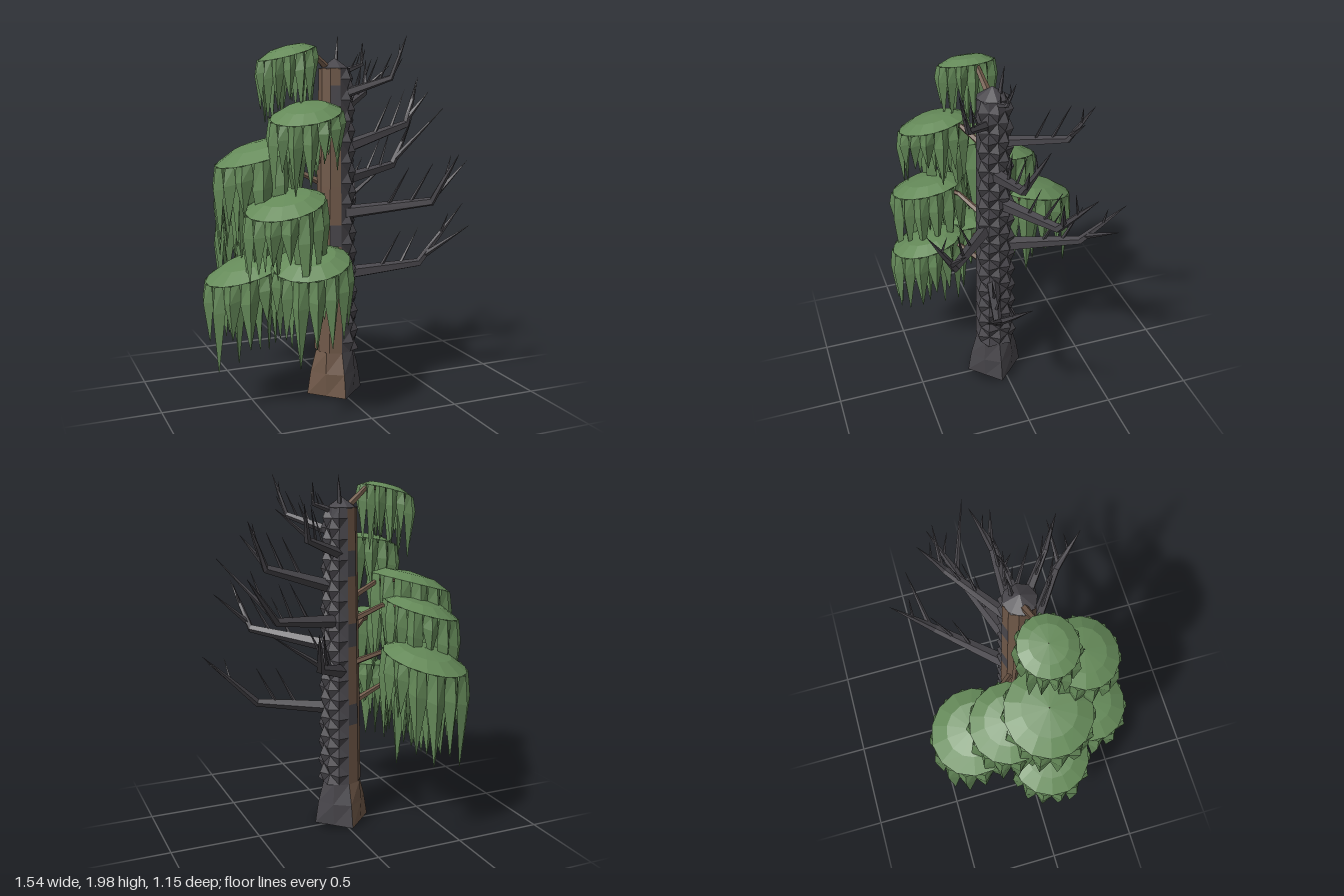
import * as THREE from 'three';

const mat = (name, color, side = THREE.FrontSide) => {
  const m = new THREE.MeshStandardMaterial({ color, side, flatShading: true });
  m.name = name;
  return m;
};
const bark = mat('living bark', 0x6f5848);
const char = mat('charred bark', 0x48464b);
const leaf = mat('foliage green', 0x658a59, THREE.DoubleSide);

const CX = -0.02, CZ = 0.04; // trunk axis

let seed = 11;
const rand = () => (seed = (seed * 16807) % 2147483647) / 2147483647;

// Flat-shaded skin over rows of points (rows run upward, points counterclockwise from above).
// flip(j, i) picks the other diagonal; pick(j, i) sends a quad to the second material.
function skin(rows, flip = () => false, pick = () => false) {
  const sets = [[], []];
  for (let j = 0; j < rows.length - 1; j++) {
    for (let i = 0; i < rows[j].length - 1; i++) {
      const a = rows[j][i], b = rows[j][i + 1], c = rows[j + 1][i + 1], d = rows[j + 1][i];
      const tris = flip(j, i) ? [a, b, d, b, c, d] : [a, b, c, a, c, d];
      for (const p of tris) sets[pick(j, i) ? 1 : 0].push(p.x, p.y, p.z);
    }
  }
  const g = new THREE.BufferGeometry();
  g.setAttribute('position', new THREE.Float32BufferAttribute([...sets[0], ...sets[1]], 3));
  g.addGroup(0, sets[0].length / 3, 0);
  if (sets[1].length) g.addGroup(sets[0].length / 3, sets[1].length / 3, 1);
  g.computeVertexNormals();
  return g;
}

function mesh(name, geometry, material) {
  const m = new THREE.Mesh(geometry, material);
  m.name = name;
  return m;
}

// Trunk radius: a four-cornered flared foot that turns round at 0.25, then a slow taper
function trunkRadius(y, t) {
  if (y >= 0.25) return THREE.MathUtils.lerp(0.112, 0.085, (y - 0.25) / 1.55);
  const k = y / 0.25;
  const square = 1 / (Math.abs(Math.sin(t)) + Math.abs(Math.cos(t)));
  return (0.165 - 0.03 * k - 0.018 * k * k) * THREE.MathUtils.lerp(square, 1, k);
}

// Half ring of the trunk; theta starts at +z and turns toward +x
function halfRing(y, start, n, push = () => 0) {
  return Array.from({ length: n + 1 }, (_, i) => {
    const t = start + (i / n) * Math.PI, r = trunkRadius(y, t) + push(i);
    return new THREE.Vector3(CX + r * Math.sin(t), y, CZ + r * Math.cos(t));
  });
}

function makeTrunk() {
  const g = new THREE.Group();
  g.name = 'trunk';
  const footRows = (start) => [0, 0.13, 0.25].map((y) => halfRing(y, start, 4));
  g.add(mesh('livingFoot', skin(footRows(Math.PI)), bark));
  g.add(mesh('charredFoot', skin(footRows(0)), char));
  // Living half, with scorched patches next to the seam
  const ys = [0.25, 0.6, 0.72, 0.85, 0.97, 1.05, 1.18, 1.44, 1.58, 1.72, 1.81];
  const backPatches = [1, 5, 7], frontPatches = [1, 3, 8];
  g.add(mesh('livingHalf', skin(ys.map((y) => halfRing(y, Math.PI, 5)), undefined,
    (j, i) => (i === 0 && backPatches.includes(j)) || (i === 4 && frontPatches.includes(j))), [bark, char]));
  // Charred half in rows of diamond scales
  const n = 6, count = 28, rows = [];
  for (let j = 0; j <= count; j++) {
    rows.push(halfRing(0.25 + (j / count) * 1.56, 0, n, (i) =>
      (i > 0 && i < n && j < count && (i + j) % 2 === 0 ? 0.024 : 0)));
  }
  g.add(mesh('charredScales', skin(rows, (j, i) => (i + j) % 2 === 0), char));
  // Blunt top and closed underside
  const cap = mesh('trunkTop', new THREE.ConeGeometry(0.088, 0.06, 8), char);
  cap.position.set(CX, 1.835, CZ);
  g.add(cap);
  for (const [name, m, start] of [['footUndersideLiving', bark, Math.PI / 2], ['footUndersideCharred', char, -Math.PI / 2]]) {
    const base = mesh(name, new THREE.CircleGeometry(0.164, 2, start, Math.PI), m);
    base.rotation.x = Math.PI / 2;
    base.position.set(CX, 0.001, CZ);
    g.add(base);
  }
  return g;
}

// Tapered, angular limb through a few points
function limb(name, points, radii, material, sides = 5) {
  const rows = points.map((p, k) => {
    const t = points[Math.min(k + 1, points.length - 1)].clone()
      .sub(points[Math.max(k - 1, 0)]).normalize();
    const ref = Math.abs(t.y) > 0.95 ? new THREE.Vector3(1, 0, 0) : new THREE.Vector3(0, 1, 0);
    const u = ref.cross(t).normalize(), v = t.clone().cross(u);
    return Array.from({ length: sides + 1 }, (_, i) => {
      const a = (i / sides) * Math.PI * 2;
      return p.clone().addScaledVector(u, radii[k] * Math.cos(a)).addScaledVector(v, radii[k] * Math.sin(a));
    });
  });
  return mesh(name, skin(rows), material);
}

// Dead branch: start height, elbow, tip, fork tip
function deadBranch([y, e, t, f], size = 1) {
  const g = new THREE.Group();
  g.name = 'deadBranch';
  const V = (p) => new THREE.Vector3(...p);
  const elbow = V(e), tip = V(t), fork = V(f);
  const start = new THREE.Vector3(CX + 0.03, y, CZ + 0.15 * (e[2] - CZ));
  g.add(limb('mainLimb', [start, elbow, elbow.clone().lerp(tip, 0.5), tip],
    [0.04, 0.024, 0.014, 0.001].map((r) => r * size), char));
  const twig = (name, from, to, r) => g.add(limb(name, [from, from.clone().lerp(to, 0.5), to],
    [r * size, r * 0.6 * size, 0.001], char, 4));
  twig('fork', elbow.clone().lerp(tip, 0.12), fork, 0.016);
  // Small upright twigs
  const len = elbow.distanceTo(start);
  const dir = elbow.clone().sub(start).normalize();
  for (const [k, side] of [[0.5, 1], [0.75, -1]]) {
    const from = start.clone().lerp(elbow, k);
    const to = from.clone().addScaledVector(dir, len * 0.25);
    to.x -= dir.z * 0.02 * side;
    to.z += dir.x * 0.02 * side;
    to.y += Math.min(0.2, len * 0.45);
    twig('twig', from, to, 0.011);
  }
  const mid = elbow.clone().lerp(tip, 0.5);
  twig('tipTwig', mid, mid.clone().lerp(fork, 0.25).add(new THREE.Vector3(0, 0.1 * size, 0)), 0.009);
  return g;
}

// Weeping crown: tilted dome with a skirt of hanging fronds
function crown([cx, y0, cz, R, L]) {
  const g = new THREE.Group();
  g.name = 'weepingCrown';
  const out = new THREE.Vector2(cx - CX, cz - CZ).normalize();
  const at = (r, a, y) => {
    const dx = r * Math.sin(a), dz = r * Math.cos(a);
    return new THREE.Vector3(cx + dx, y0 + y - 0.28 * (dx * out.x + dz * out.y), cz + dz);
  };
  const N = 14;
  const dome = [[1, 0], [0.62, 0.2], [0.01, 0.27]].map(([r, h]) =>
    Array.from({ length: N + 1 }, (_, i) => at(r * R, (i / N) * Math.PI * 2, h * R)));
  g.add(mesh('crownDome', skin(dome), leaf));
  // Each frond is a long, keeled blade: keel outward, edges tucked under the rim
  const frond = (r, a, w, len) => {
    const ring = (rr, half, keel, y) => [[keel, 0], [-keel * 0.5, half], [-keel, 0], [-keel * 0.5, -half], [keel, 0]]
      .map(([dr, dt]) => at(rr + dr, a + dt / r, y));
    g.add(mesh('frond', skin([
      ring(r * 0.94, 0.002, 0.002, -len),
      ring(r * 0.98, w, 0.024, -len * 0.3),
      ring(r * 0.97, w * 0.8, 0.012, 0.0),
    ]), leaf));
  };
  for (let k = 0; k < N; k++) {
    frond(R, ((k + 0.5) / N) * Math.PI * 2, (Math.PI * R / N) * 1.1, L * (0.45 + 0.55 * rand()));
  }
  for (let k = 0; k < 6; k++) {
    frond(R * 0.55, ((k + 0.3) / 6) * Math.PI * 2, R * 0.2, L * (0.5 + 0.45 * rand()));
  }
  // Living branch that carries the crown
  const start = new THREE.Vector3(CX + out.x * 0.05, y0 - 0.07, CZ + out.y * 0.05);
  const end = new THREE.Vector3(cx, y0 + 0.01, cz);
  const elbow = start.clone().lerp(end, 0.45);
  elbow.y = y0 + 0.02;
  g.add(limb('livingBranch', [start, elbow, end], [0.02, 0.014, 0.008], bark));
  return g;
}

export function createModel() {
  const model = new THREE.Group();
  model.name = 'halfBurntTree';
  model.add(makeTrunk());
  // Dead branches on the charred side
  const dead = [
    [0.68, [0.44, 0.73, 0.17], [0.76, 1.04, 0.10], [0.68, 0.95, 0.31]],
    [0.91, [0.27, 1.03, -0.36], [0.36, 1.26, -0.57], [0.55, 1.24, -0.44]],
    [1.03, [0.40, 1.11, 0.38], [0.47, 1.37, 0.53], [0.61, 1.32, 0.38]],
    [1.19, [0.43, 1.25, -0.16], [0.62, 1.50, -0.28], [0.71, 1.58, -0.06]],
    [1.37, [0.42, 1.50, 0.03], [0.54, 1.76, -0.06], [0.55, 1.68, 0.05]],
  ];
  for (const b of dead) model.add(deadBranch(b));
  model.add(deadBranch([1.56, [0.29, 1.67, -0.25], [0.35, 1.86, -0.36], [0.46, 1.83, -0.26]], 0.8));
  model.add(deadBranch([1.67, [0.22, 1.76, 0.24], [0.28, 1.98, 0.30], [0.27, 1.86, 0.27]], 0.7));
  model.add(deadBranch([1.78, [0.15, 1.83, 0.02], [0.17, 1.95, -0.02], [0.16, 1.91, 0.04]], 0.5));
  model.add(limb('topTwig', [[0.0, 1.8, 0.01], [0.01, 1.9, 0], [0.02, 1.98, -0.01]]
    .map((p) => new THREE.Vector3(...p)), [0.014, 0.009, 0.001], char, 4));
  // Crowns on the living side: x, rim height, z, radius, frond length
  const crowns = [
    [-0.54, 0.76, 0.08, 0.22, 0.55],
    [-0.28, 0.83, 0.36, 0.20, 0.48],
    [-0.36, 1.01, -0.31, 0.23, 0.52],
    [-0.40, 1.13, 0.31, 0.205, 0.48],
    [-0.43, 1.25, -0.13, 0.205, 0.47],
    [-0.46, 1.37, 0.07, 0.23, 0.52],
    [-0.28, 1.58, 0.29, 0.183, 0.43],
    [-0.31, 1.885, 0.09, 0.147, 0.39],
  ];
  for (const c of crowns) model.add(crown(c));
  return model;
}
